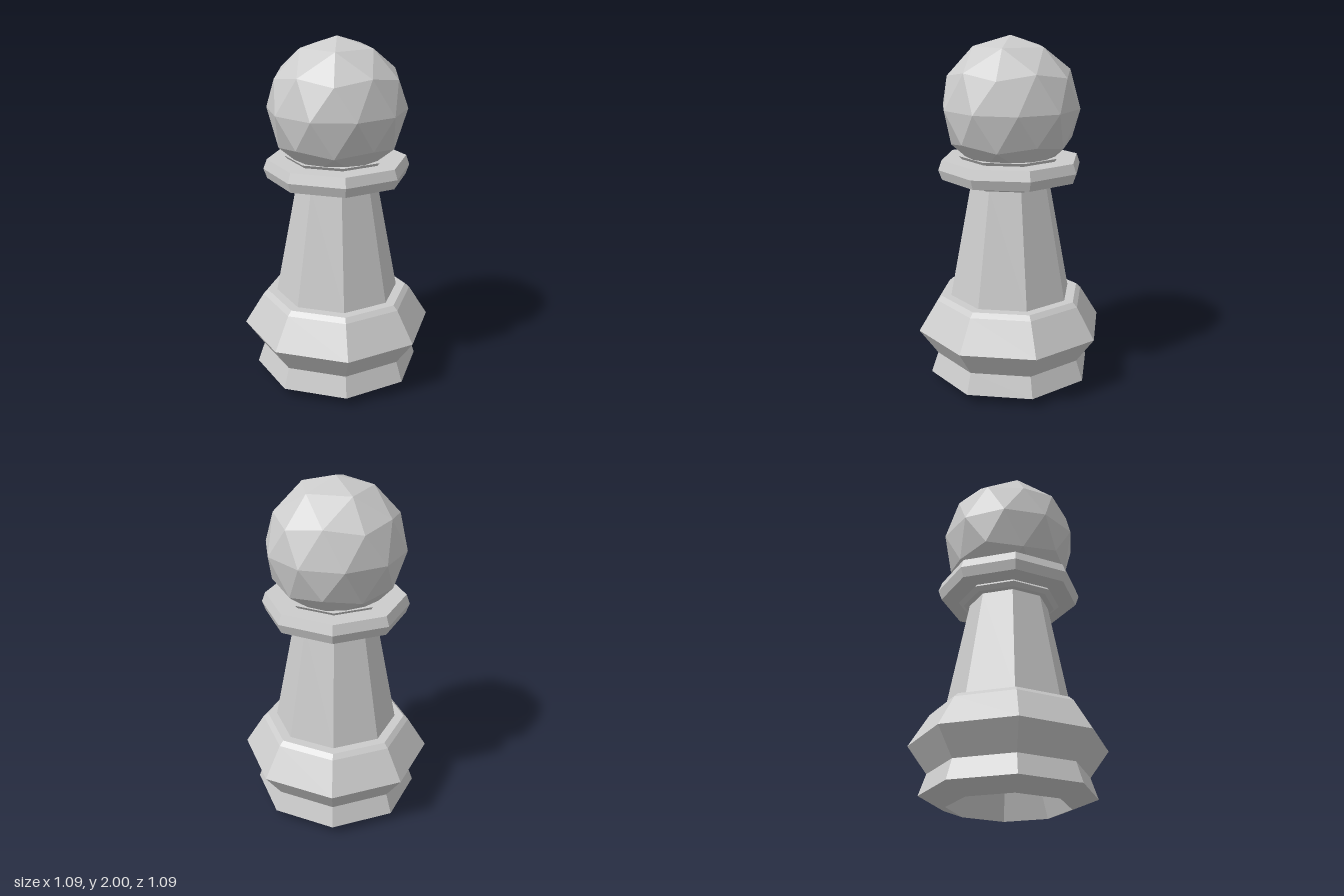
import * as THREE from 'three';

const material = new THREE.MeshStandardMaterial({ color: 0xcccccc, flatShading: true });

// Eight-sided turned part from [radius, height] pairs, listed bottom to top
function turned(name, profile) {
  const points = profile.map(([r, y]) => new THREE.Vector2(r, y));
  const mesh = new THREE.Mesh(new THREE.LatheGeometry(points, 8), material);
  mesh.name = name;
  return mesh;
}

export function createModel() {
  const group = new THREE.Group();
  group.name = 'pawn';

  // Flared foot with a recess underneath
  group.add(turned('base', [
    [0, 0.22], [0.25, 0.22], [0.335, 0], [0.48, 0.055], [0.44, 0.172],
    [0.547, 0.322], [0.437, 0.5], [0.41, 0.525], [0.355, 0.525],
  ]));

  // Tapered body
  group.add(turned('stem', [[0.355, 0.525], [0.23, 1.18]]));

  // Protruding ring with a small lip below and above
  group.add(turned('collar', [
    [0.23, 1.18], [0.265, 1.18], [0.295, 1.198], [0.28, 1.215], [0.395, 1.215], [0.415, 1.27],
    [0.395, 1.325], [0.28, 1.325], [0.295, 1.343], [0.2, 1.343],
  ]));

  // Faceted ball, turned so one vertex points straight up
  const ball = new THREE.IcosahedronGeometry(0.392, 1);
  ball.rotateZ(-Math.atan(2 / (1 + Math.sqrt(5))));
  const head = new THREE.Mesh(ball, material);
  head.name = 'head';
  head.position.y = 1.608;
  group.add(head);

  return group;
}
